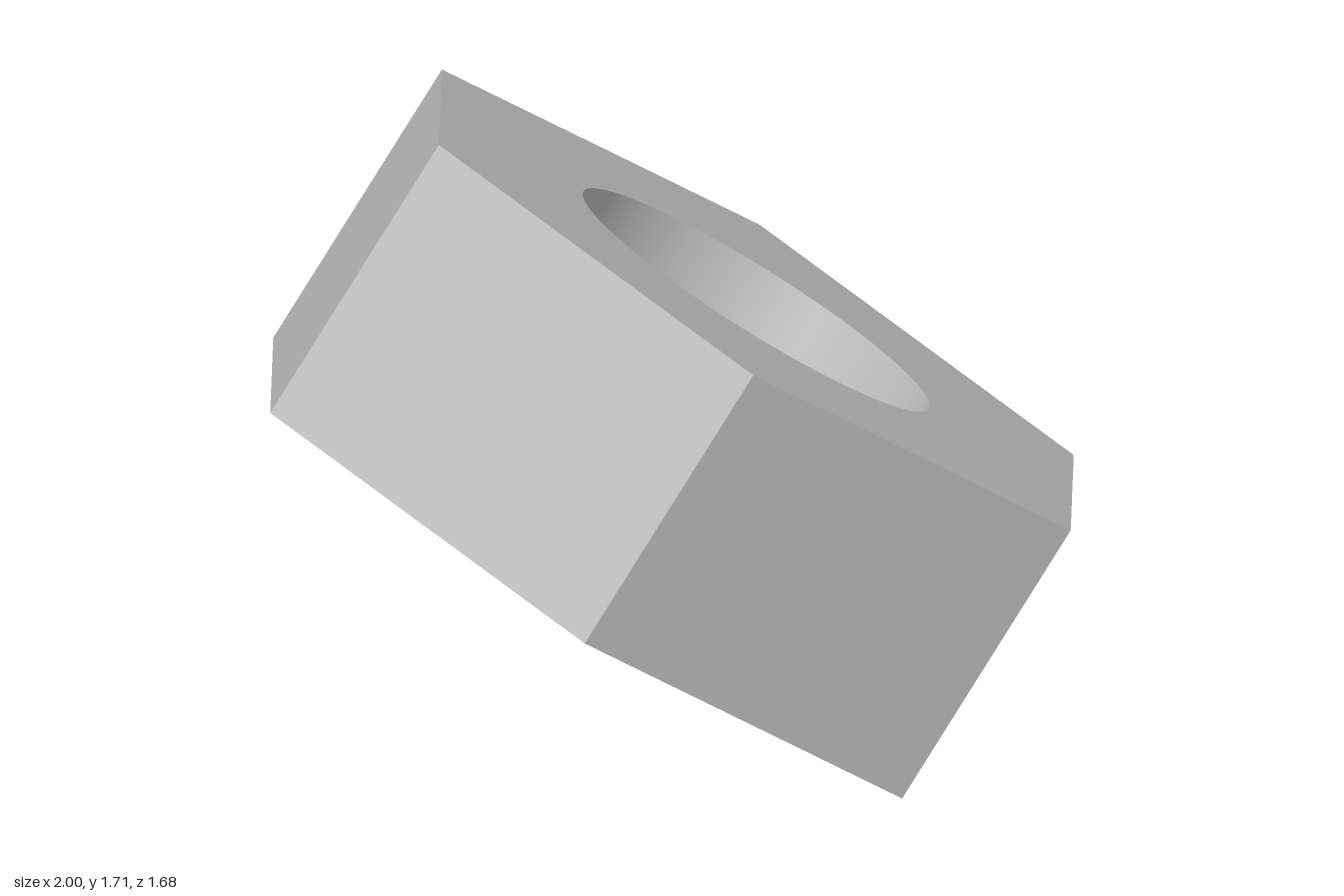
import * as THREE from 'three';
import { toCreasedNormals } from 'three/addons/utils/BufferGeometryUtils.js';

const RADIUS = 0.969; // hexagon corner radius
const BORE = 0.461;
const THICKNESS = 0.724;
const TILT = 0.618;

export function createModel() {
  const steel = new THREE.MeshStandardMaterial({ color: 0xb8b8b8 });
  steel.name = 'steel grey';

  // Hexagonal outline with a round bore
  const outline = new THREE.Shape();
  for (let i = 0; i < 6; i++) {
    const a = (i * Math.PI) / 3;
    const x = RADIUS * Math.cos(a), y = RADIUS * Math.sin(a);
    if (i === 0) outline.moveTo(x, y);
    else outline.lineTo(x, y);
  }
  outline.closePath();
  outline.holes.push(new THREE.Path().absarc(0, 0, BORE, 0, Math.PI * 2, true));

  // Axis turned upright; creased normals keep the bore smooth and the hexagon sharp
  const solid = new THREE.ExtrudeGeometry(outline, { depth: THICKNESS, bevelEnabled: false, curveSegments: 64 });
  solid.translate(0, 0, -THICKNESS / 2);
  solid.rotateX(-Math.PI / 2);
  const nut = new THREE.Mesh(toCreasedNormals(solid, 0.5), steel);
  nut.name = 'hexNut';

  // Leaning so that one corner edge rests on the ground
  nut.rotation.z = -TILT;
  nut.position.y = RADIUS * Math.sin(TILT) + (THICKNESS / 2) * Math.cos(TILT);

  const group = new THREE.Group();
  group.name = 'tiltedHexNut';
  group.add(nut);
  return group;
}
